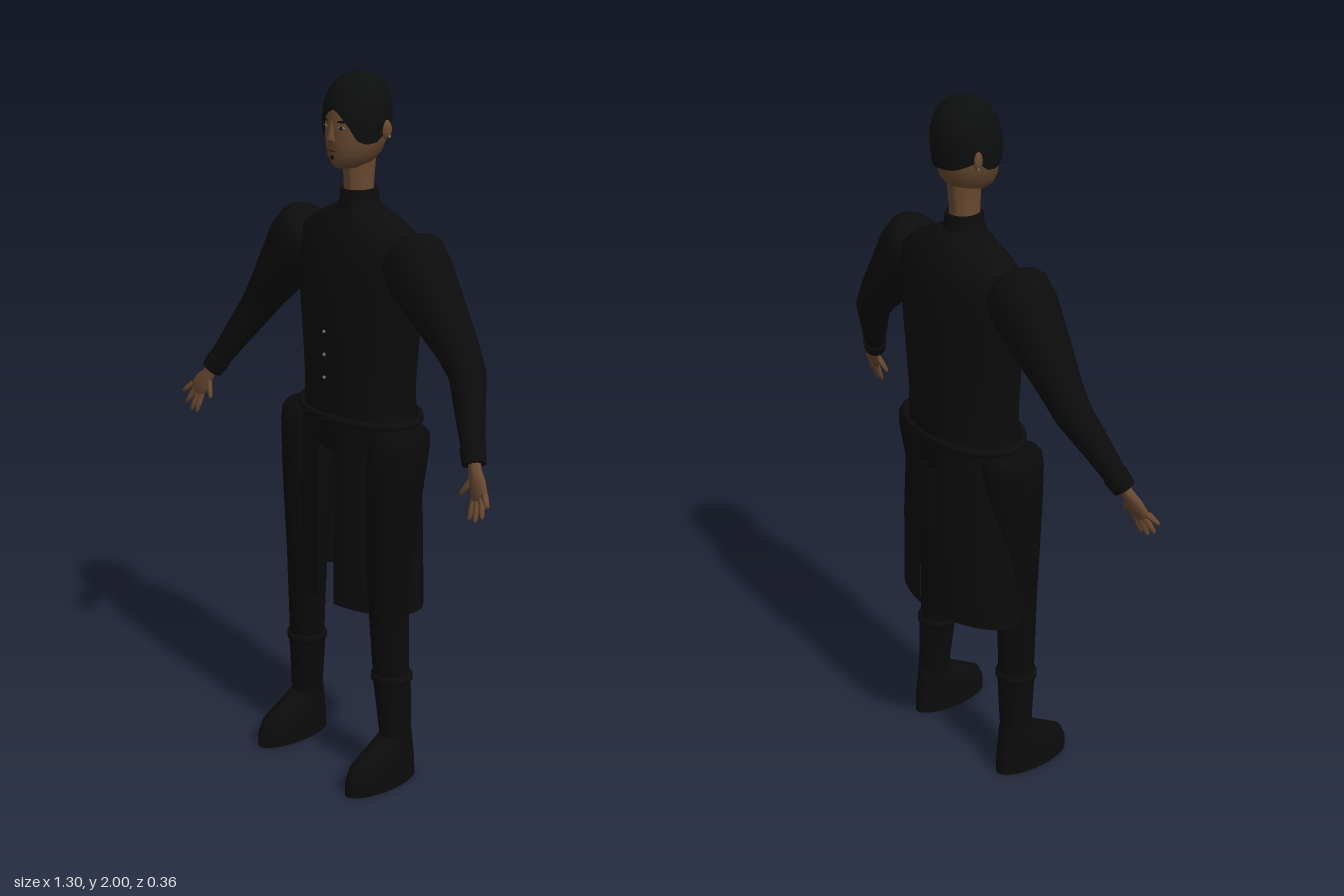
import * as THREE from 'three';
import { toCreasedNormals } from 'three/addons/utils/BufferGeometryUtils.js';

const V = (x, y, z) => new THREE.Vector3(x, y, z);
const SEG = 32;

// Skin a list of rings (arrays of points); closed rings may be capped at both ends
function skin(rings, closed = true, crease = 0.9) {
  const n = rings[0].length, pos = [], idx = [];
  rings.forEach(r => r.forEach(p => pos.push(p.x, p.y, p.z)));
  for (let i = 0; i < rings.length - 1; i++)
    for (let j = 0; j < (closed ? n : n - 1); j++) {
      const k = (j + 1) % n, a = i * n + j, b = i * n + k;
      idx.push(a, b, b + n, a, b + n, a + n);
    }
  if (closed) [0, rings.length - 1].forEach((r, end) => {
    const c = rings[r].reduce((s, p) => s.add(p), V(0, 0, 0)).divideScalar(n);
    const ci = pos.length / 3;
    pos.push(c.x, c.y, c.z);
    for (let j = 0; j < n; j++) {
      const a = r * n + j, b = r * n + (j + 1) % n;
      if (end) idx.push(ci, a, b); else idx.push(ci, b, a);
    }
  });
  const g = new THREE.BufferGeometry();
  g.setAttribute('position', new THREE.Float32BufferAttribute(pos, 3));
  g.setIndex(idx);
  return toCreasedNormals(g, crease);
}

// Point on a horizontal ellipse; angle 0 is the front, then towards +x
const onRing = ([y, rx, zf, zb], a, cx = 0) =>
  V(cx + rx * Math.sin(a), y, (zf + zb) / 2 + (zf - zb) / 2 * Math.cos(a));
const ring = (row, cx) => Array.from({ length: SEG }, (_, j) => onRing(row, j / SEG * Math.PI * 2, cx));
// Rows are [y, half width, front z, back z]
const loft = rows => skin(rows.map(r => ring(r)));
// Rows are [y, inner x, outer x, front z, back z]
const limb = rows => skin(rows.map(([y, x0, x1, zf, zb]) => ring([y, (x1 - x0) / 2, zf, zb], (x0 + x1) / 2)));

// Rings square to a path; points are [x, y, z, radius, depth radius]
function sleeve(pts) {
  const c = pts.map(p => V(p[0], p[1], p[2]));
  return skin(pts.map((p, i) => {
    const d = c[Math.min(i + 1, c.length - 1)].clone().sub(c[Math.max(i - 1, 0)]).normalize();
    const u = V(0, 0, 1).cross(d).normalize(), v = d.clone().cross(u);
    return Array.from({ length: 20 }, (_, j) => {
      const a = j / 20 * Math.PI * 2;
      return c[i].clone().addScaledVector(u, p[3] * Math.cos(a)).addScaledVector(v, p[4] * Math.sin(a));
    });
  }));
}

// Linear lookup of a row by height
function rowAt(rows, y) {
  let i = 0;
  while (i < rows.length - 2 && rows[i + 1][0] < y) i++;
  const t = (y - rows[i][0]) / (rows[i + 1][0] - rows[i][0]);
  return rows[i].map((v, k) => v + (rows[i + 1][k] - v) * t);
}

const HEAD = [
  [1.752, 0.028, 0.044, -0.04], [1.765, 0.046, 0.056, -0.075], [1.79, 0.065, 0.062, -0.098],
  [1.83, 0.077, 0.064, -0.112], [1.88, 0.081, 0.063, -0.117], [1.92, 0.079, 0.055, -0.116],
  [1.955, 0.067, 0.035, -0.102], [1.978, 0.045, 0.01, -0.08], [1.99, 0.02, -0.015, -0.055],
];

export function createModel() {
  const root = new THREE.Group();
  const mat = (name, color, side = THREE.FrontSide) =>
    Object.assign(new THREE.MeshStandardMaterial({ color, side }), { name });
  const coat = mat('coat black', 0x0c0c0d, THREE.DoubleSide);
  const trouser = mat('trouser black', 0x0a0a0a);
  const boot = mat('boot black', 0x0b0b0b);
  const hairMat = mat('hair black', 0x0d0e0e, THREE.DoubleSide);
  const skinMat = mat('brown skin', 0x67482f);
  const lip = mat('lip brown', 0x452a20);
  const dark = mat('eye black', 0x0e0b0a);
  const eyeWhite = mat('eye grey', 0x6a6460);
  const metal = mat('metal grey', 0x6e6e72);

  const add = (name, geo, m, parent = root) => {
    const mesh = new THREE.Mesh(geo, m);
    mesh.name = name;
    parent.add(mesh);
    return mesh;
  };

  // Coat body, collar, hips and belt
  add('coatBody', loft([
    [1.03, 0.192, 0.085, -0.165], [1.15, 0.182, 0.09, -0.166], [1.3, 0.196, 0.091, -0.17],
    [1.42, 0.214, 0.09, -0.17], [1.5, 0.222, 0.077, -0.164], [1.56, 0.218, 0.06, -0.15],
    [1.59, 0.185, 0.046, -0.135], [1.62, 0.125, 0.03, -0.115], [1.65, 0.055, 0.015, -0.09],
  ]), coat);
  add('collar', loft([[1.61, 0.062, 0.022, -0.094], [1.655, 0.058, 0.02, -0.09],
    [1.66, 0.054, 0.018, -0.088], [1.69, 0.052, 0.016, -0.086]]), coat);
  add('hips', loft([[0.966, 0.19, 0.07, -0.15], [1.06, 0.195, 0.085, -0.165]]), trouser);
  const belt = add('belt', new THREE.TorusGeometry(1, 0.06, 10, 48), coat);
  belt.geometry.rotateX(Math.PI / 2).scale(0.205, 0.2, 0.13);
  belt.position.set(0, 1.066, -0.038);
  for (const y of [1.18, 1.245, 1.31]) {
    const b = add('button', new THREE.SphereGeometry(0.005, 10, 8), metal);
    b.position.set(0, y, 0.092);
  }

  // Neck and head
  add('neck', loft([[1.63, 0.045, 0.012, -0.08], [1.7, 0.037, 0.01, -0.076], [1.79, 0.042, 0.015, -0.085]]), skinMat);
  add('head', loft(HEAD), skinMat);

  // Hair cap: high arch over the brow, low at temples and nape
  const lowEdge = [1.912, 1.9, 1.872, 1.83, 1.82, 1.825, 1.85, 1.84, 1.83, 1.828, 1.828];
  const hairRows = [];
  for (let i = 0; i <= 14; i++) {
    hairRows.push(Array.from({ length: 48 }, (_, j) => {
      const a = j / 48 * Math.PI * 2, f = Math.min(a, Math.PI * 2 - a) / Math.PI * 10;
      const k = Math.min(Math.floor(f), 9);
      const low = lowEdge[k] + (lowEdge[k + 1] - lowEdge[k]) * (f - k);
      const y = low + (1.99 - low) * Math.sin(i / 14 * Math.PI / 2);
      const [, rx, zf, zb] = rowAt(HEAD, y);
      const lift = 0.01 * Math.max(0, (y - 1.88) / 0.11);
      return onRing([y + lift, rx + 0.008, zf + 0.008, zb - 0.008], a);
    }));
  }
  add('hair', skin(hairRows, true, 1.2).clone(), hairMat);
  // Skin core shields the hair's closed underside
  const front = (x, y) => {
    const r = rowAt(HEAD, y), a = Math.asin(x / r[1]);
    return { p: onRing(r, a), a };
  };
  const plate = (name, x, y, w, h, m, lift = 0.001, tilt = 0) => {
    const { p, a } = front(x, y);
    const g = new THREE.SphereGeometry(1, 14, 8).scale(w / 2, h / 2, 0.004);
    const mesh = add(name, g, m);
    mesh.position.set(p.x, p.y, p.z + lift);
    mesh.rotation.set(0, a * 0.7, tilt);
  };

  // Face details
  for (const s of [1, -1]) {
    plate('eye', s * 0.033, 1.863, 0.026, 0.009, eyeWhite);
    plate('iris', s * 0.033, 1.863, 0.01, 0.009, dark, 0.003);
    plate('eyebrow', s * 0.035, 1.88, 0.036, 0.006, dark, 0.001, s * 0.08);
    const ear = add('ear', new THREE.SphereGeometry(1, 12, 10).scale(0.009, 0.025, 0.016), skinMat);
    ear.position.set(s * 0.085, 1.855, -0.055);
    ear.rotation.y = s * -0.3;
    const stud = add('earStud', new THREE.SphereGeometry(0.004, 8, 6), metal);
    stud.position.set(s * 0.092, 1.836, -0.06);
  }
  plate('mouth', 0, 1.802, 0.036, 0.009, lip);
  plate('chinBeard', 0, 1.783, 0.012, 0.012, dark);
  add('nose', loft([[1.823, 0.011, 0.07, 0.05], [1.831, 0.013, 0.077, 0.05],
    [1.85, 0.008, 0.071, 0.05], [1.88, 0.006, 0.065, 0.05]]), skinMat);

  // Paired parts, built for the +x side and mirrored
  for (const [side, s] of [['left', 1], ['right', -1]]) {
    const half = new THREE.Group();
    half.name = side + 'Side';
    half.scale.x = s;
    root.add(half);

    // Sleeve with puffed shoulder, and cuff
    add('sleeve', sleeve([
      [0.185, 1.565, -0.035, 0.05, 0.05], [0.195, 1.555, -0.035, 0.075, 0.07], [0.212, 1.538, -0.033, 0.094, 0.085],
      [0.25, 1.492, -0.03, 0.099, 0.085], [0.33, 1.4, -0.03, 0.078, 0.07], [0.395, 1.325, -0.03, 0.062, 0.055],
      [0.44, 1.265, -0.024, 0.053, 0.048], [0.495, 1.17, 0.017, 0.04, 0.038], [0.55, 1.075, 0.055, 0.028, 0.028],
    ]), coat, half);
    add('cuff', sleeve([[0.532, 1.105, 0.043, 0.036, 0.035], [0.553, 1.07, 0.058, 0.033, 0.031]]), coat, half);

    // Hand
    add('palm', sleeve([
      [0.545, 1.085, 0.052, 0.018, 0.016], [0.562, 1.055, 0.063, 0.02, 0.015], [0.578, 1.03, 0.071, 0.03, 0.014],
      [0.597, 1.0, 0.081, 0.031, 0.012], [0.602, 0.992, 0.083, 0.026, 0.008],
    ]), skinMat, half);
    [[0.577, 0.99, 0.08, 0.58, 0.936, 0.1], [0.591, 0.99, 0.082, 0.604, 0.936, 0.102],
     [0.607, 0.998, 0.083, 0.629, 0.953, 0.102], [0.618, 1.012, 0.083, 0.646, 0.986, 0.1],
     [0.558, 1.035, 0.068, 0.53, 0.987, 0.085]].forEach(([x, y, z, X, Y, Z], i) => {
      const m = (t, r) => [x + (X - x) * t, y + (Y - y) * t, z + (Z - z) * t, r, r];
      add(i < 4 ? 'finger' : 'thumb',
        sleeve([m(0, 0.009), m(0.5, 0.008), m(0.9, 0.006), m(1, 0.002)]), skinMat, half);
    });

    // Coat skirt, open at the middle of front and back
    const skirtRow = row => {
      const a0 = Math.asin(0.035 / row[1]);
      return Array.from({ length: 33 }, (_, j) => onRing(row, a0 + (Math.PI - 2 * a0) * j / 32));
    };
    add('coatSkirt', skin([[0.515, 0.228, 0.092, -0.171], [0.75, 0.224, 0.09, -0.169],
      [0.95, 0.212, 0.087, -0.164], [1.06, 0.198, 0.086, -0.164]].map(skirtRow), false), coat, half);

    // Trouser leg
    add('trouserLeg', limb([
      [0.3, 0.135, 0.238, 0.055, -0.045], [0.45, 0.125, 0.237, 0.062, -0.045], [0.6, 0.116, 0.236, 0.07, -0.05],
      [0.75, 0.11, 0.246, 0.075, -0.07], [0.88, 0.11, 0.254, 0.078, -0.09], [1.0, 0.112, 0.26, 0.077, -0.11],
      [1.035, 0.115, 0.258, 0.072, -0.11], [1.05, 0.125, 0.25, 0.06, -0.1], [1.056, 0.15, 0.23, 0.03, -0.07],
    ]), trouser, half);

    // Boot: shaft, top band and foot
    add('bootShaft', limb([[0.14, 0.154, 0.24, 0.045, -0.05], [0.25, 0.14, 0.241, 0.052, -0.05],
      [0.325, 0.13, 0.242, 0.058, -0.048]]), boot, half);
    add('bootBand', limb([[0.31, 0.131, 0.243, 0.059, -0.05], [0.315, 0.127, 0.247, 0.063, -0.054],
      [0.33, 0.127, 0.247, 0.063, -0.054], [0.335, 0.131, 0.243, 0.059, -0.05]]), boot, half);
    add('bootFoot', limb([
      [0, 0.145, 0.249, 0.181, -0.07], [0.04, 0.146, 0.248, 0.18, -0.069], [0.075, 0.148, 0.245, 0.163, -0.066],
      [0.09, 0.149, 0.243, 0.138, -0.064], [0.115, 0.152, 0.239, 0.095, -0.06], [0.145, 0.155, 0.236, 0.045, -0.055],
      [0.16, 0.158, 0.234, 0.03, -0.045],
    ]), boot, half);
  }
  return root;
}
